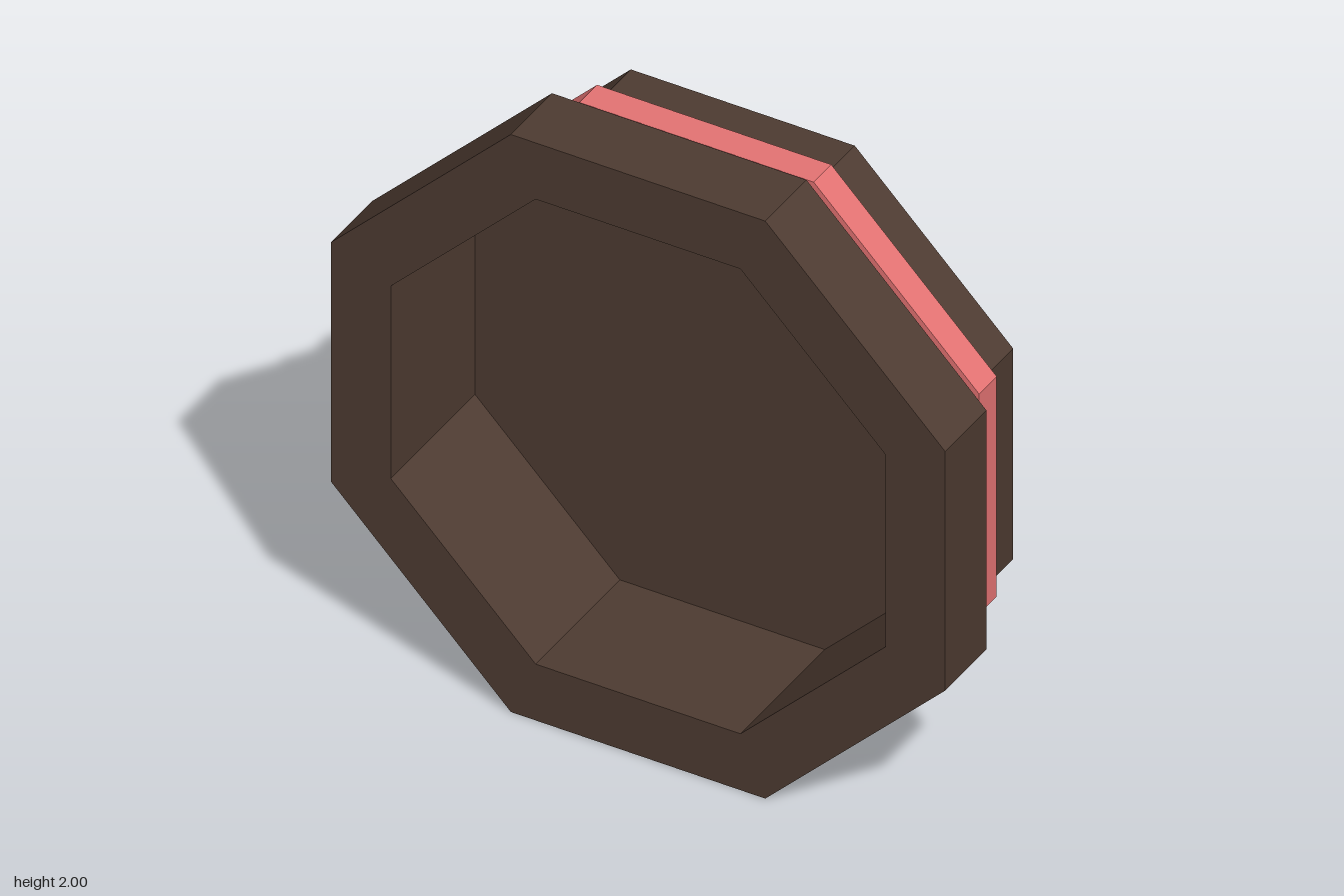
import * as THREE from 'three';

const brown = new THREE.MeshStandardMaterial({ color: 0x4e3b31, flatShading: true });
const coral = new THREE.MeshStandardMaterial({ color: 0xe57373, flatShading: true });
const grey = new THREE.MeshStandardMaterial({ color: 0x8a8a8a, flatShading: true });
brown.name = 'darkBrown';
coral.name = 'coral';
grey.name = 'midGrey';

// Octagonal solid around the z axis from [distance to flat side, z] points,
// listed from back to front along the outside.
function octagon(name, profile, material) {
  const toCorner = 1 / Math.cos(Math.PI / 8);
  const points = profile.map(([r, z]) => new THREE.Vector2(r * toCorner, z));
  const geometry = new THREE.LatheGeometry(points, 8, Math.PI / 8).toNonIndexed();
  geometry.rotateX(Math.PI / 2);
  geometry.computeVertexNormals();
  const mesh = new THREE.Mesh(geometry, material);
  mesh.name = name;
  mesh.position.y = 1;
  return mesh;
}

export function createModel() {
  const model = new THREE.Group();
  model.name = 'octagonalCap';

  // Hollow housing with a wide front rim and a deep recess
  model.add(octagon('housing', [
    [0, -0.255], [0.88, -0.255], [0.88, 0.1], [1, 0.1],
    [1, 0.33], [0.805, 0.33], [0.805, -0.14], [0, -0.14],
  ], brown));

  // Coloured band around the housing
  model.add(octagon('band', [
    [0.88, -0.095], [0.92, -0.095], [0.92, 0.003], [0.88, 0.003],
  ], coral));

  // Raised plate on the back
  model.add(octagon('backPlate', [
    [0, -0.33], [0.458, -0.33], [0.458, -0.255],
  ], grey));

  return model;
}
